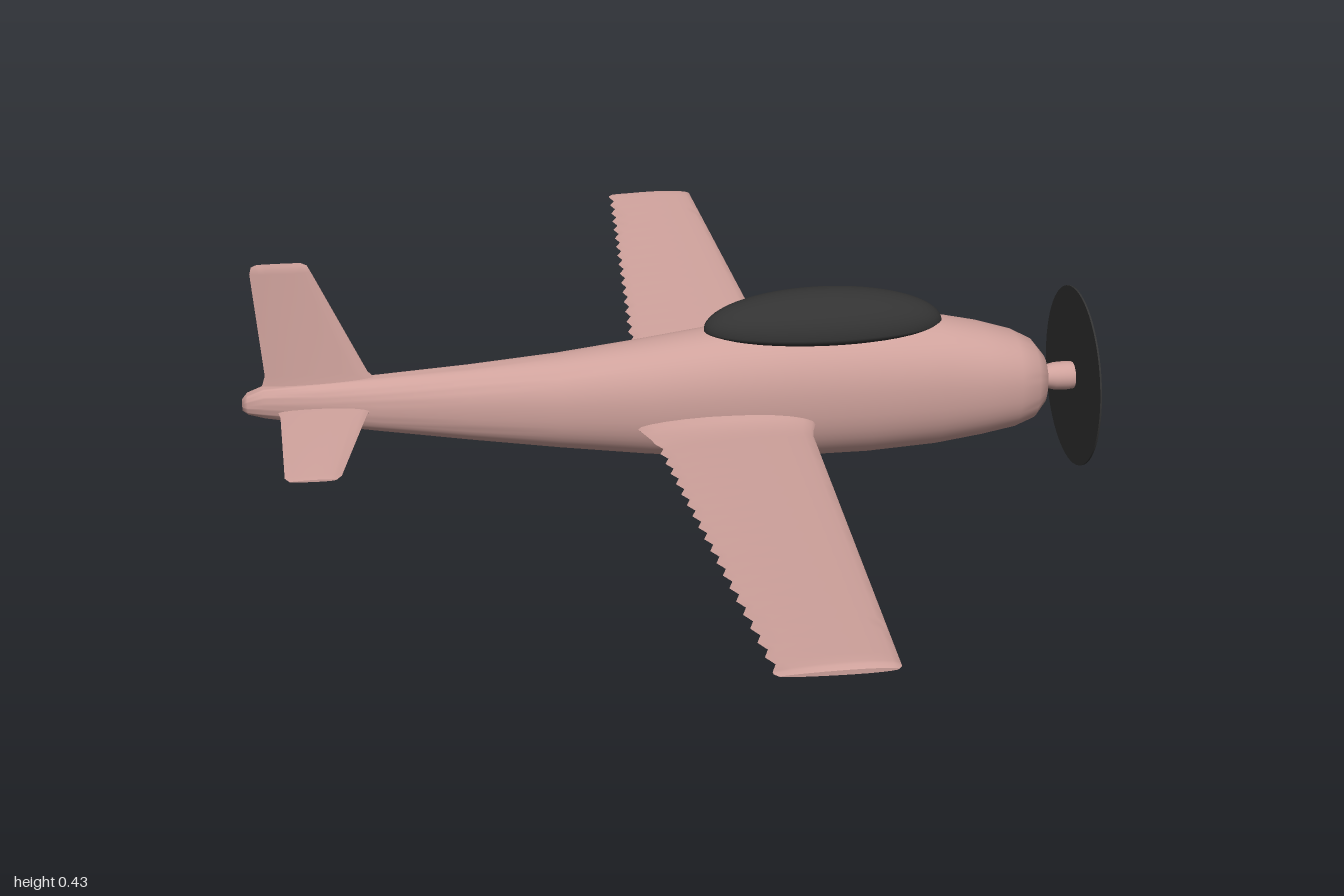
import * as THREE from 'three';
import { toCreasedNormals } from 'three/addons/utils/BufferGeometryUtils.js';

// Skins a list of closed rings (each counter-clockwise about the direction of travel) and caps both ends
function loft(rings, crease = 0.9) {
  const n = rings[0].length, pos = rings.flat(2), idx = [];
  for (let i = 0; i < rings.length - 1; i++) {
    for (let k = 0; k < n; k++) {
      const a = i * n + k, b = i * n + (k + 1) % n, c = a + n, d = b + n;
      idx.push(a, b, c, b, d, c);
    }
  }
  [0, rings.length - 1].forEach((r, end) => {
    const centre = pos.length / 3;
    for (let j = 0; j < 3; j++) pos.push(rings[r].reduce((s, p) => s + p[j], 0) / n);
    for (let k = 0; k < n; k++) {
      const a = r * n + k, b = r * n + (k + 1) % n;
      idx.push(...(end ? [centre, a, b] : [centre, b, a]));
    }
  });
  const g = new THREE.BufferGeometry();
  g.setAttribute('position', new THREE.Float32BufferAttribute(pos, 3));
  g.setIndex(idx);
  return toCreasedNormals(g, crease);
}

// Teardrop section: returns [x, thickness offset] pairs, leading edge towards +x
function airfoil(trail, lead, thick, n = 24) {
  return Array.from({ length: n }, (_, k) => {
    const a = k / n * Math.PI * 2, c = Math.cos(a);
    return [(trail + lead) / 2 + (lead - trail) / 2 * c, thick / 2 * Math.sin(a) * (0.88 + 0.25 * c)];
  });
}

export function createModel() {
  const pink = new THREE.MeshStandardMaterial({ color: 0xcfa29c });
  pink.name = 'dusty pink paint';
  const dark = new THREE.MeshStandardMaterial({ color: 0x333333 });
  dark.name = 'dark grey';

  const model = new THREE.Group();
  model.name = 'airplane';
  const plane = new THREE.Group();
  plane.name = 'airframe';
  // slight roll about the fuselage axis
  plane.rotation.x = 0.025;
  plane.position.z = -0.004;
  model.add(plane);

  const add = (name, geometry, material) => {
    const m = new THREE.Mesh(geometry, material);
    m.name = name;
    plane.add(m);
    return m;
  };

  // Fuselage: x, top, bottom, half width
  const body = [
    [-0.727, 0.192, 0.172, 0.007], [-0.718, 0.203, 0.165, 0.013], [-0.69, 0.214, 0.157, 0.019],
    [-0.6, 0.218, 0.141, 0.027], [-0.5, 0.222, 0.125, 0.036], [-0.35, 0.231, 0.102, 0.05],
    [-0.2, 0.243, 0.081, 0.066], [-0.05, 0.261, 0.062, 0.081], [0.08, 0.279, 0.051, 0.092],
    [0.2, 0.287, 0.046, 0.098], [0.33, 0.287, 0.047, 0.099], [0.45, 0.281, 0.055, 0.097],
    [0.53, 0.264, 0.067, 0.091], [0.59, 0.246, 0.078, 0.081], [0.625, 0.228, 0.091, 0.067],
    [0.645, 0.203, 0.114, 0.045], [0.653, 0.178, 0.14, 0.02],
  ];
  const bulge = v => Math.sign(v) * Math.abs(v) ** 0.88;
  add('fuselage', loft(body.map(([x, top, bottom, w]) => Array.from({ length: 48 }, (_, k) => {
    const a = k / 48 * Math.PI * 2;
    return [x, (top + bottom) / 2 + (top - bottom) / 2 * bulge(Math.cos(a)), w * bulge(Math.sin(a))];
  })), 1.2), pink);

  // Wing: one span with dihedral, stepped trailing edge and thickened roots
  const half = [[0.02, 0.06], [0.075, 0.06], [0.09, 0.052], [0.105, 0.04], [0.125, 0.031]]
    .map(([z, t]) => ({ z, t, cut: 0 }));
  for (let i = 0; i <= 38; i++) {
    const z = 0.15 + i * 0.022;
    half.push({ z, t: 0.028 - 0.009 * z, cut: i % 2 ? 0.009 : 0 });
  }
  half.push({ z: 0.992, t: 0.017, cut: 0 }, { z: 1, t: 0.008, cut: 0.006 });
  const span = [...half.map(s => ({ ...s, z: -s.z })).reverse(), ...half];
  add('wing', loft(span.map(({ z, t, cut }) => {
    const d = Math.abs(z), fillet = Math.max(0, 0.14 - d) * 0.25;
    const trail = -0.061 + 0.056 * d + cut - fillet;
    const lead = 0.221 - 0.056 * d - (d > 0.995 ? 0.005 : 0) + fillet;
    return airfoil(trail, lead, t).map(([x, o]) => [x, 0.129 + 0.062 * d + o, z]);
  })), pink);

  // Tailplane
  const tail = [[0.01, -0.67, -0.5, 0.022], [0.04, -0.664, -0.521, 0.014],
    [0.285, -0.651, -0.563, 0.009], [0.299, -0.643, -0.571, 0.004]];
  const tailSpan = [...tail.map(([z, ...r]) => [-z, ...r]).reverse(), ...tail];
  add('tailplane', loft(tailSpan.map(([z, trail, lead, t]) =>
    airfoil(trail, lead, t).map(([x, o]) => [x, 0.172 + 0.015 * Math.abs(z) + o, z]))), pink);

  // Tail fin, rising along y
  const fin = [[0.17, -0.705, -0.47, 0.034], [0.21, -0.694, -0.497, 0.024], [0.232, -0.687, -0.518, 0.015],
    [0.412, -0.7, -0.601, 0.011], [0.424, -0.697, -0.607, 0.008], [0.428, -0.688, -0.616, 0.004]];
  add('tailFin', loft(fin.map(([y, trail, lead, t]) =>
    airfoil(trail, lead, t).reverse().map(([x, o]) => [x, y, o]))), pink);

  // Canopy: dome with a shallow underside
  const dome = new THREE.SphereGeometry(1, 48, 32);
  const p = dome.attributes.position;
  for (let i = 0; i < p.count; i++) if (p.getY(i) < 0) p.setY(i, p.getY(i) * 0.4);
  dome.scale(0.206, 0.064, 0.075);
  dome.computeVertexNormals();
  add('canopy', dome, dark).position.set(0.255, 0.277, 0);

  // Spinner shaft with a rounded tip
  const shaft = [[0.023, 0.64], [0.021, 0.655], [0.024, 0.668], [0.025, 0.69], [0.023, 0.707],
    [0.017, 0.719], [0.009, 0.725], [0, 0.727]].map(([r, h]) => new THREE.Vector2(r, h));
  const spinner = add('spinner', new THREE.LatheGeometry(shaft, 32), pink);
  spinner.rotation.z = -Math.PI / 2;
  spinner.position.y = 0.16;

  // Propeller disc, tilted a touch
  const disc = add('propellerDisc', new THREE.CylinderGeometry(0.158, 0.158, 0.003, 64), dark);
  disc.rotation.z = -Math.PI / 2 + 0.022;
  disc.position.set(0.703, 0.159, 0);

  return model;
}
